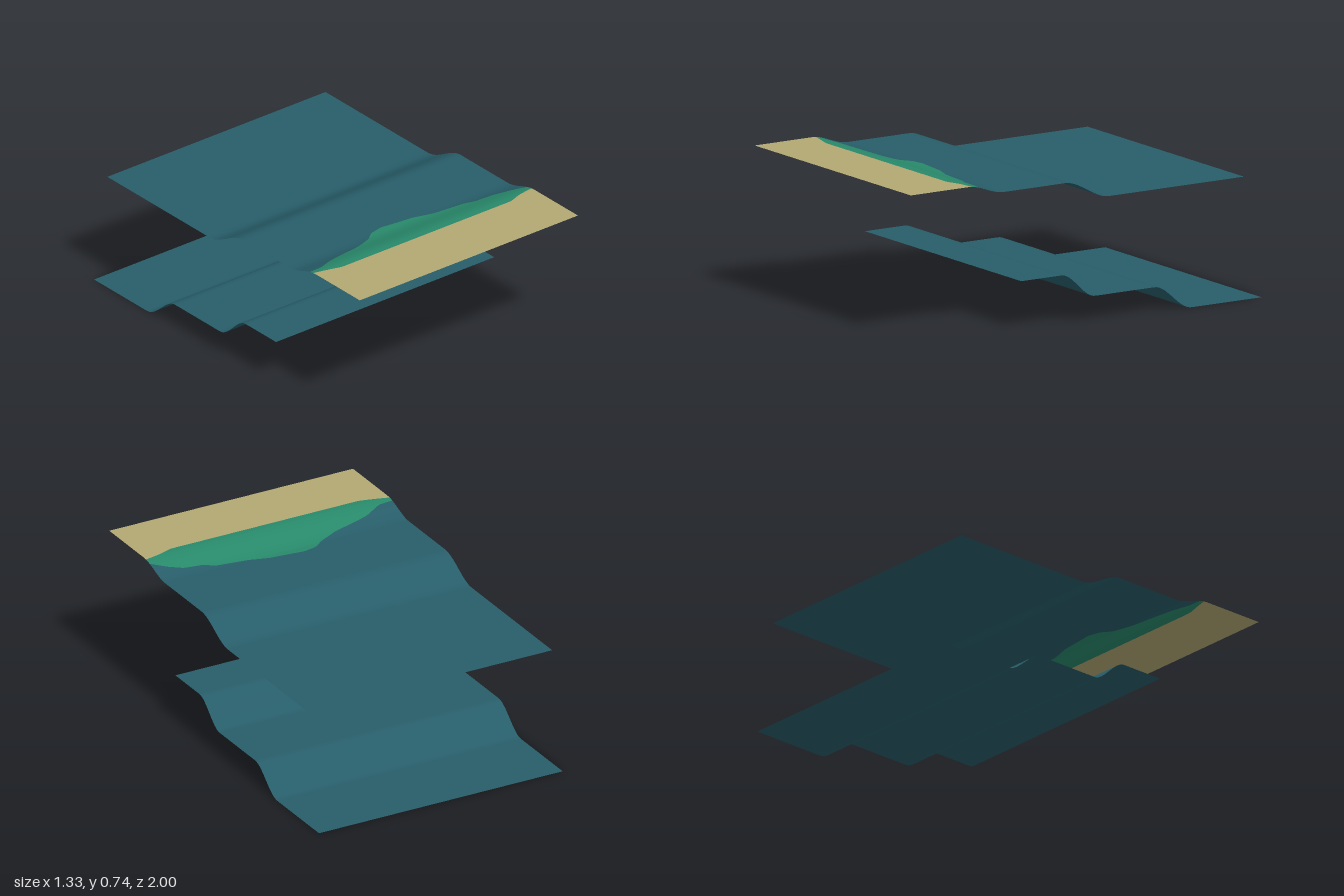
import * as THREE from 'three';

const WIDTH = 1.33;
const smooth = (z, a, b) => THREE.MathUtils.smoothstep(z, a, b);

// Stepped height profiles along z
const upperHeight = z => 0.597 + 0.093 * smooth(z, -0.13, 0.12) + 0.048 * smooth(z, 0.47, 0.67);
const lowerHeight = z => 0.123 * smooth(z, -0.6, -0.39) + 0.122 * smooth(z, -0.05, 0.14);

// Piecewise linear border: z for a given x
const border = points => x => {
  for (let i = 1; i < points.length; i++) {
    const [x0, z0] = points[i - 1], [x1, z1] = points[i];
    if (x <= x1 || i === points.length - 1) {
      return THREE.MathUtils.mapLinear(x, x0, x1, z0, z1);
    }
  }
};

const greenBack = border([
  [-0.665, 0.625], [-0.59, 0.62], [-0.5, 0.575], [-0.42, 0.555], [-0.3, 0.53], [-0.2, 0.49],
  [-0.15, 0.45], [-0.08, 0.435], [0, 0.445], [0.1, 0.455], [0.2, 0.485], [0.37, 0.505],
  [0.42, 0.53], [0.52, 0.54], [0.6, 0.575], [0.665, 0.615],
]);
const sandBack = border([
  [-0.665, 0.65], [-0.52, 0.69], [0.51, 0.69], [0.58, 0.665], [0.665, 0.65],
]);

// Sheet between two borders, bent to a height profile with matching smooth normals
function sheet(name, height, back, front, rows, material) {
  const geometry = new THREE.PlaneGeometry(WIDTH, 1, 76, rows).rotateX(-Math.PI / 2);
  const { position, normal } = geometry.attributes;
  const n = new THREE.Vector3();
  for (let i = 0; i < position.count; i++) {
    const x = position.getX(i);
    const z = THREE.MathUtils.lerp(back(x), front(x), position.getZ(i) + 0.5);
    const slope = (height(z + 0.005) - height(z - 0.005)) / 0.01;
    position.setXYZ(i, x, height(z), z);
    n.set(0, 1, -slope).normalize();
    normal.setXYZ(i, n.x, n.y, n.z);
  }
  const mesh = new THREE.Mesh(geometry, material);
  mesh.name = name;
  return mesh;
}

function paint(name, color) {
  const material = new THREE.MeshStandardMaterial({ color, side: THREE.DoubleSide });
  material.name = name;
  return material;
}

export function createModel() {
  const teal = paint('teal', 0x275d69);
  const green = paint('green', 0x28896a);
  const sand = paint('sand', 0xb2a872);
  const at = z => () => z;

  // Upper layer: teal slope, green patch and sandy shelf
  const upper = new THREE.Group();
  upper.name = 'upperLayer';
  upper.add(
    sheet('upperSlope', upperHeight, at(-0.9), greenBack, 80, teal),
    sheet('greenPatch', upperHeight, greenBack, sandBack, 24, green),
    sheet('sandShelf', upperHeight, sandBack, at(1), 16, sand),
  );

  // Lower layer: one sheet with two steps
  const lower = new THREE.Group();
  lower.name = 'lowerLayer';
  lower.add(sheet('lowerSlope', lowerHeight, at(-1), at(0.37), 80, teal));

  const model = new THREE.Group();
  model.name = 'layeredTerrain';
  model.add(upper, lower);
  return model;
}
